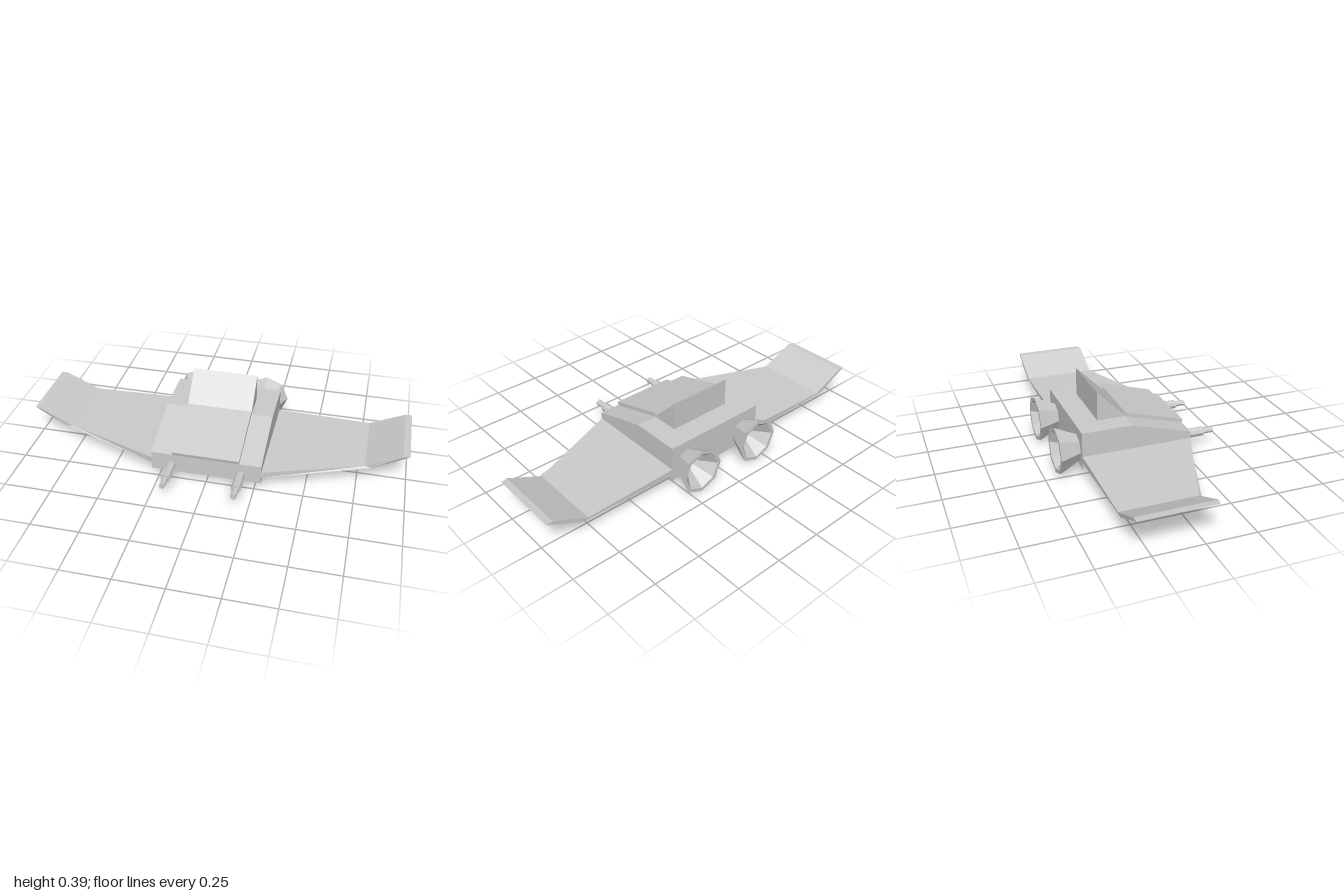
import * as THREE from 'three';

const material = new THREE.MeshStandardMaterial({ color: 0xcccccc, flatShading: true });

function addMesh(parent, name, geometry) {
  const mesh = new THREE.Mesh(geometry, material);
  mesh.name = name;
  parent.add(mesh);
  return mesh;
}

// Side profile of [z, y] points, extruded across x and centred
function sideProfile(points, width) {
  const shape = new THREE.Shape(points.map(([z, y]) => new THREE.Vector2(z, y)));
  const geometry = new THREE.ExtrudeGeometry(shape, { depth: width, bevelEnabled: false });
  return geometry.translate(0, 0, -width / 2).rotateY(-Math.PI / 2);
}

// Wing lofted through four-cornered sections, mirrored by side
function wingGeometry(side) {
  const back = -0.32;
  const sections = [
    { top: [0.28, 0.116, 0.257], bottom: [0.28, 0.083, 0.257] },
    { top: [0.785, 0.104, 0.067], bottom: [0.82, 0.097, 0.067] },
    { top: [0.965, 0.188, 0.067], bottom: [1, 0.189, 0.057] },
  ].map(({ top, bottom }) => [
    top, [top[0], top[1], back], [bottom[0], bottom[1], back], bottom,
  ]);
  const positions = [];
  const quad = (a, b, c, d) => {
    const order = side > 0 ? [a, b, c, a, c, d] : [a, c, b, a, d, c];
    for (const [x, y, z] of order) positions.push(side * x, y, z);
  };
  for (let i = 0; i < sections.length - 1; i++) {
    const a = sections[i], b = sections[i + 1];
    for (let k = 0; k < 4; k++) {
      const n = (k + 1) % 4;
      quad(a[k], b[k], b[n], a[n]);
    }
  }
  const root = sections[0], tip = sections[sections.length - 1];
  quad(root[0], root[1], root[2], root[3]);
  quad(tip[3], tip[2], tip[1], tip[0]);
  const geometry = new THREE.BufferGeometry();
  geometry.setAttribute('position', new THREE.Float32BufferAttribute(positions, 3));
  geometry.computeVertexNormals();
  return geometry;
}

export function createModel() {
  const model = new THREE.Group();
  model.name = 'spacecraft';

  // Hull with sloping nose
  addMesh(model, 'fuselage', sideProfile(
    [[0.257, 0.05], [0.257, 0.152], [-0.06, 0.242], [-0.32, 0.242], [-0.32, 0.05]], 0.57));

  // Raised plate on the nose and wedge behind it
  addMesh(model, 'canopyPlate', sideProfile(
    [[0.257, 0.15], [0.262, 0.17], [-0.055, 0.262], [-0.061, 0.24]], 0.345));
  addMesh(model, 'dorsalWedge', sideProfile(
    [[-0.055, 0.241], [-0.058, 0.246], [-0.204, 0.392], [-0.204, 0.241]], 0.345));

  // Hollow flared exhaust, open toward the rear
  const nozzleProfile = [[0.07, 0], [0.123, 0.112], [0.103, 0.112], [0.03, 0.02], [0, 0.02]]
    .map(([r, y]) => new THREE.Vector2(r, y));
  const nozzle = new THREE.LatheGeometry(nozzleProfile, 8).rotateX(-Math.PI / 2);

  // Gun sleeve and thinner muzzle
  const sleeve = new THREE.CylinderGeometry(0.025, 0.025, 0.125, 8).rotateX(Math.PI / 2);
  const muzzle = new THREE.CylinderGeometry(0.016, 0.016, 0.065, 8).rotateX(Math.PI / 2);

  for (const side of [1, -1]) {
    const label = side > 0 ? 'left' : 'right';
    addMesh(model, label + 'Wing', wingGeometry(side));
    addMesh(model, label + 'Nozzle', nozzle).position.set(side * 0.19, 0.125, -0.319);
    const gun = new THREE.Group();
    gun.name = label + 'Gun';
    gun.position.set(side * 0.18, 0.085, 0);
    addMesh(gun, 'sleeve', sleeve).position.z = 0.3115;
    addMesh(gun, 'muzzle', muzzle).position.z = 0.3995;
    model.add(gun);
  }
  return model;
}
